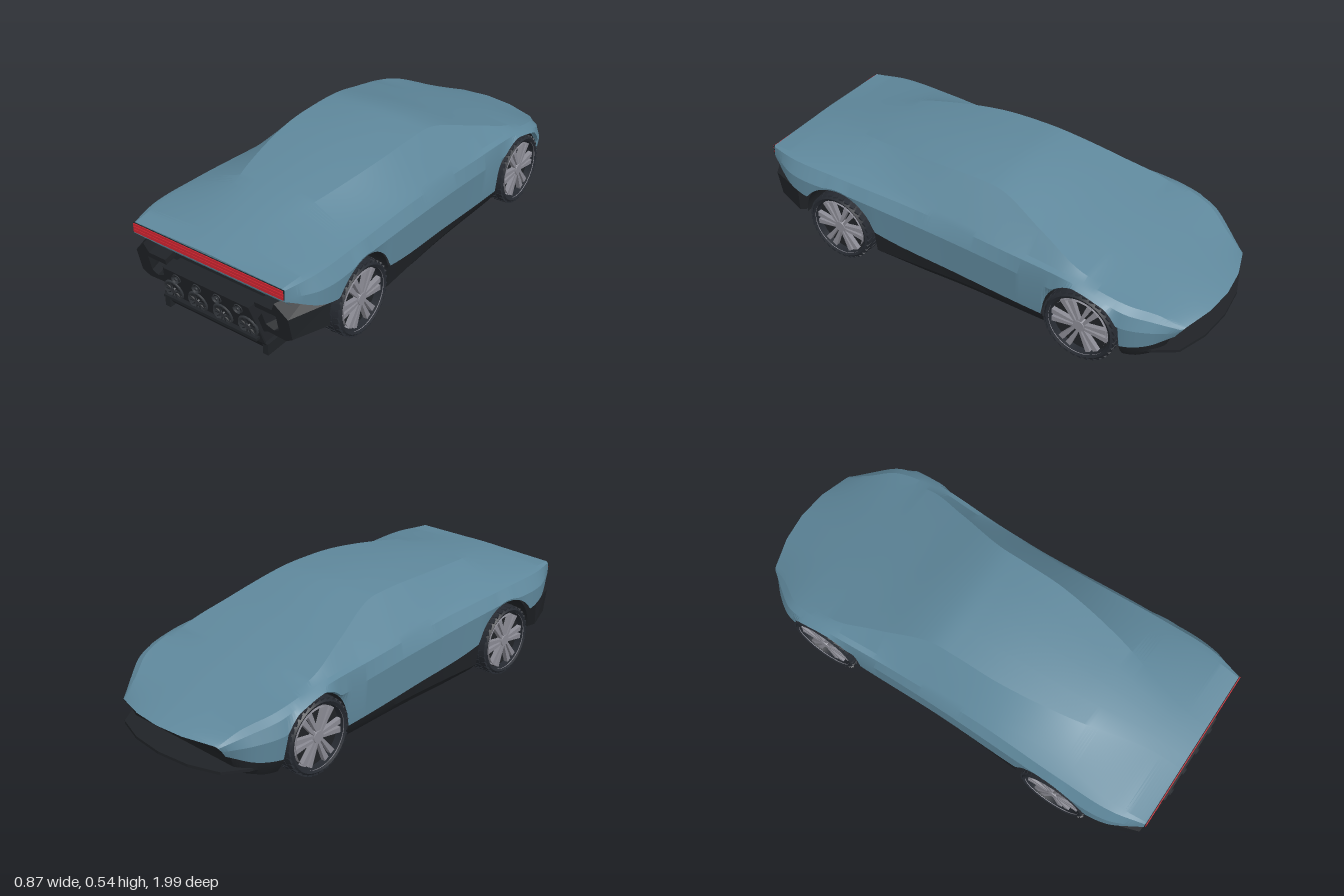
import * as THREE from 'three';
import { toCreasedNormals } from 'three/addons/utils/BufferGeometryUtils.js';

const mat = (name, color, side = THREE.FrontSide) => {
  const m = new THREE.MeshStandardMaterial({ color, side });
  m.name = name;
  return m;
};
const REAR = { z: 0.59, y: 0.157, r: 0.157, arch: 0.187 };
const FRONT = { z: -0.575, y: 0.16, r: 0.16, arch: 0.17 };

// Smooth lengthwise rail through [z, x, y] keys, listed tail to nose
const rail = (keys) => {
  const s = new THREE.CubicInterpolant(keys.map(k => -k[0]), keys.flatMap(k => [k[1], k[2]]), 2, new Float32Array(2));
  return z => [...s.evaluate(-z)];
};
const crown = rail([[0.97, 0, 0.408], [0.8, 0, 0.444], [0.5, 0, 0.503], [0.2, 0, 0.538], [0, 0, 0.545], [-0.1, 0, 0.54],
  [-0.2, 0, 0.515], [-0.4, 0, 0.44], [-0.6, 0, 0.37], [-0.8, 0, 0.297], [-1, 0, 0.222]]);
const roofEdge = rail([[0.97, 0.1, 0.406], [0.83, 0.11, 0.434], [0.5, 0.195, 0.492], [0.2, 0.24, 0.526], [0, 0.245, 0.531],
  [-0.12, 0.25, 0.522], [-0.35, 0.31, 0.444], [-0.57, 0.355, 0.364], [-0.72, 0.3, 0.318], [-0.86, 0.275, 0.268], [-1, 0.26, 0.215]]);
const belt = rail([[0.97, 0.355, 0.402], [0.83, 0.365, 0.41], [0.5, 0.335, 0.418], [0.25, 0.355, 0.408], [0, 0.37, 0.392],
  [-0.3, 0.375, 0.37], [-0.57, 0.385, 0.352], [-0.75, 0.365, 0.308], [-0.88, 0.305, 0.262], [-1, 0.27, 0.212]]);
const shoulder = rail([[0.97, 0.363, 0.396], [0.83, 0.395, 0.4], [0.6, 0.398, 0.396], [0.2, 0.386, 0.38], [-0.2, 0.392, 0.358],
  [-0.57, 0.408, 0.342], [-0.75, 0.4, 0.292], [-0.88, 0.34, 0.25], [-1, 0.275, 0.207]]);
const flank = rail([[0.97, 0.365, 0.362], [0.83, 0.424, 0.345], [0.5, 0.424, 0.342], [0, 0.411, 0.31], [-0.4, 0.415, 0.285],
  [-0.57, 0.424, 0.28], [-0.74, 0.42, 0.235], [-0.88, 0.36, 0.21], [-1, 0.28, 0.19]]);
const sill = rail([[0.97, 0.365, 0.35], [0.83, 0.424, 0.28], [0.5, 0.42, 0.235], [0.4, 0.415, 0.2], [0, 0.4, 0.15],
  [-0.4, 0.405, 0.13], [-0.74, 0.405, 0.13], [-0.88, 0.35, 0.138], [-1, 0.28, 0.165]]);

// Rounds the nose in plan and undercuts it
const nose = (x, y, z) => {
  const t = THREE.MathUtils.clamp((-z - 0.7) / 0.3, 0, 1);
  return [x, y, z + t * t * 0.06 * (x / 0.28) ** 2 + Math.max(0, 0.21 - y) * 0.6 * t ** 4];
};
const mirrored = (half, z) => [
  ...half.map(([x, y]) => nose(-x, y, z)),
  ...half.slice(0, -1).reverse().map(([x, y]) => nose(x, y, z)),
];
const archY = z => Math.max(...[REAR, FRONT].map(w => {
  const d = Math.abs(z - w.z);
  return d < w.arch ? w.y + Math.sqrt(w.arch ** 2 - d * d) : 0;
}));
const bodySection = (z) => {
  const c = crown(z), r = roofEdge(z), s = shoulder(z), f = flank(z), l = sill(z);
  l[1] = Math.min(Math.max(l[1], archY(z)), s[1] - 0.02);
  f[1] = Math.max(f[1], l[1] + 0.008);
  return mirrored([l, f, s, belt(z), r, [r[0] / 2, c[1] + (r[1] - c[1]) * 0.28], c], z);
};
const skirtSection = (z) => {
  const [x, y] = sill(z);
  const low = 0.066 + Math.max(0, -z - 0.8) * 0.16;
  return mirrored([[x, y], [x - 0.012, Math.min(0.1, y)], [Math.min(0.37, x - 0.035), low], [0, low]], z);
};

// Surface through rows of points
const grid = (rows) => {
  const n = rows[0].length, idx = [];
  for (let j = 0; j < rows.length - 1; j++) for (let i = 0; i < n - 1; i++) {
    const a = j * n + i, c = a + n;
    idx.push(a, a + 1, c, a + 1, c + 1, c);
  }
  const g = new THREE.BufferGeometry();
  g.setAttribute('position', new THREE.Float32BufferAttribute(rows.flat(2), 3));
  g.setIndex(idx);
  return toCreasedNormals(g, 0.3);
};
const loft = (section, z0, z1, n) => grid(Array.from({ length: n + 1 }, (_, i) => section(z0 + (z1 - z0) * i / n)));
const cap = (pts) => grid(pts.slice(0, (pts.length + 1) / 2).map((p, k) => [p, pts[pts.length - 1 - k]]));
const shapeOf = pts => new THREE.Shape(pts.map(p => new THREE.Vector2(...p)));
const slab = (pts, depth) => new THREE.ExtrudeGeometry(shapeOf(pts), { depth, bevelEnabled: false });

export function createModel() {
  const car = new THREE.Group();
  car.name = 'sportsCar';
  const paint = mat('bluePaint', 0x5f889c, THREE.DoubleSide);
  const dark = mat('darkTrim', 0x202327, THREE.DoubleSide);
  const rubber = mat('tyreRubber', 0x262a31);
  const alloy = mat('alloyGrey', 0x8b8b94);
  const pipe = mat('exhaustMetal', 0x33373c, THREE.DoubleSide);
  const red = mat('tailLightRed', 0xcc2430);
  const add = (parent, name, geo, m, x = 0, y = 0, z = 0) => {
    const mesh = new THREE.Mesh(geo, m);
    mesh.name = name;
    mesh.position.set(x, y, z);
    parent.add(mesh);
    return mesh;
  };
  const box = (name, m, w, h, d, x, y, z) => add(car, name, new THREE.BoxGeometry(w, h, d), m, x, y, z);

  // Painted shell with tail panel
  add(car, 'bodyShell', loft(bodySection, 0.97, -1, 170), paint);
  add(car, 'tailPanel', cap(bodySection(0.97)), paint);
  add(car, 'noseIntake', cap(bodySection(-1)), dark);
  add(car, 'lowerTailPanel', grid([[[-0.355, 0.275, 0.9], [0.355, 0.275, 0.9]], [[-0.365, 0.35, 0.968], [0.365, 0.35, 0.968]]]), paint);

  // Dark sills, floor and front splitter
  for (const [name, a, b] of [['sillSkirt', 0.405, -0.405], ['frontSkirt', -0.745, -0.98]]) {
    add(car, name, loft(skirtSection, a, b, 16), dark);
    add(car, name + 'Rear', cap(skirtSection(a)), dark);
    add(car, name + 'Front', cap(skirtSection(b)), dark);
  }
  box('floorTub', dark, 0.55, 0.18, 1.6, 0, 0.159, 0.02);
  const edge = [[0.36, -0.76], [0.34, -0.85], [0.28, -0.94], [0.15, -0.985], [0, -1]];
  const splitter = slab([...edge, ...edge.slice(0, -1).reverse().map(([x, z]) => [-x, z])], 0.012);
  add(car, 'frontSplitter', splitter.rotateX(Math.PI / 2), dark, 0, 0.112, 0);
  for (let i = -3; i <= 3; i++) box('floorRib', dark, 0.54, 0.006, 0.01, 0, 0.066, i * 0.2);
  for (const x of [-0.18, 0, 0.18]) box('floorRail', dark, 0.01, 0.006, 1.4, x, 0.066, 0);

  // Tail light bar in three strips
  box('tailLightBacking', dark, 0.728, 0.042, 0.004, 0, 0.379, 0.971);
  for (const [y, h] of [[0.366, 0.013], [0.38, 0.011], [0.393, 0.01]]) box('tailLight', red, 0.724, h, 0.007, 0, y, 0.973);

  // Rear diffuser: side profile run across the car
  const diffuser = slab([[-0.985, 0.262], [-0.955, 0.1], [-0.93, 0.058], [-0.78, 0.058], [-0.78, 0.262]], 0.5);
  const corners = diffuser.attributes.position;
  for (let i = 0; i < corners.count; i++) if (corners.getY(i) > 0.25)
    corners.setZ(i, 0.25 + (corners.getZ(i) - 0.25) * 0.82);
  diffuser.rotateY(Math.PI / 2).translate(-0.25, 0, 0);
  diffuser.computeVertexNormals();
  add(car, 'rearDiffuser', diffuser, dark);
  box('bumperBeam', dark, 0.7, 0.05, 0.14, 0, 0.268, 0.83);
  box('diffuserLip', dark, 0.46, 0.012, 0.05, 0, 0.125, 0.955);

  // Exhausts and small round lamps on the sloping rear face
  const outlet = (name, x, y, r) => {
    const g = new THREE.Group();
    g.name = name;
    g.position.set(x, y, 0.955 + (y - 0.1) * 0.185);
    g.rotation.x = 0.18;
    add(g, 'rim', new THREE.TorusGeometry(r, r * 0.14, 8, 28), pipe);
    add(g, 'bowl', new THREE.CylinderGeometry(r, r * 0.4, 0.012, 24, 1, true).rotateX(Math.PI / 2), pipe, 0, 0, 0.004);
    add(g, 'core', new THREE.CylinderGeometry(r * 0.35, r * 0.4, 0.016, 20).rotateX(Math.PI / 2), pipe);
    for (let k = 0; k < 10 && r > 0.03; k++) {
      const vane = new THREE.BoxGeometry(r * 0.62, 0.003, 0.008).translate(r * 0.65, 0, 0.003);
      add(g, 'vane', vane.rotateZ(k * Math.PI / 5), dark);
    }
    car.add(g);
  };
  for (const s of [-1, 1]) for (const k of [0, 1]) {
    outlet('exhaust', s * (0.062 + k * 0.122), 0.162, 0.042);
    outlet('rearLamp', s * (0.05 + k * 0.102), 0.234, 0.018);
  }

  for (const s of [-1, 1]) {
    // Wrap-around bumper corners, tapering with the tail
    const pts = [[0.365, 0.325], [0.427, 0.27], [0.427, 0.17], [0.39, 0.147], [0.29, 0.152], [0.25, 0.13], [0.25, 0.2],
      [0.28, 0.24], [0.29, 0.19], [0.33, 0.175], [0.36, 0.19], [0.36, 0.26], [0.25, 0.26], [0.25, 0.285], [0.345, 0.285]];
    const pod = slab(pts.map(([x, y]) => [s * x, y]), 0.165);
    const p = pod.attributes.position;
    for (let i = 0; i < p.count; i++) {
      const x = p.getX(i), back = p.getZ(i) > 0.1;
      p.setX(i, back ? x * 0.87 : x);
      p.setZ(i, p.getZ(i) + 0.8 + (back ? (p.getY(i) - 0.27) * 0.2 : 0));
    }
    pod.computeVertexNormals();
    add(car, 'bumperCorner', pod, dark);
    box('diffuserFin', dark, 0.025, 0.05, 0.16, s * 0.245, 0.072, 0.87);

    for (const w of [FRONT, REAR]) {
      // Arch liner
      const liner = new THREE.CylinderGeometry(w.arch, w.arch, 0.14, 32, 1, true, 0, Math.PI).rotateZ(Math.PI / 2);
      add(car, 'archLiner', liner, dark, s * 0.335, w.y, w.z);
      const back = new THREE.CircleGeometry(w.arch, 32, 0, Math.PI).rotateY(Math.PI / 2);
      add(car, 'archWall', back, dark, s * 0.272, w.y, w.z);
      car.add(makeWheel(w, s));
    }
  }

  // Wheel is built on a vertical axle, outer face up, then laid over
  function makeWheel(w, s) {
    const wheel = new THREE.Group();
    wheel.name = w === REAR ? 'rearWheel' : 'frontWheel';
    wheel.position.set(s * 0.362, w.y, w.z);
    wheel.rotation.z = -s * Math.PI / 2;
    const R = w.r - 0.003, rim = R * 0.83;
    const lathe = (pts, n = 48) => toCreasedNormals(new THREE.LatheGeometry(pts.map(q => new THREE.Vector2(...q)), n), 0.5);
    add(wheel, 'tyre', lathe([[rim, -0.058], [R - 0.014, -0.065], [R - 0.003, -0.055], [R, -0.03],
      [R, 0.03], [R - 0.003, 0.055], [R - 0.014, 0.065], [rim, 0.058], [rim, -0.058]]), rubber);
    for (let k = 0; k < 32; k++) for (const row of [-1.5, -0.5, 0.5, 1.5]) {
      const block = new THREE.BoxGeometry(0.008, 0.026, 0.02).rotateX(row * 0.15);
      block.translate(R - 0.001 - Math.abs(row) * 0.002, row * 0.031, 0);
      add(wheel, 'treadBlock', block.rotateY((k + row * 0.25) * Math.PI / 16), rubber);
    }
    add(wheel, 'rim', lathe([[rim * 0.9, 0.03], [rim * 0.92, 0.058], [rim + 0.001, 0.062], [rim + 0.002, 0.05]]), alloy);
    add(wheel, 'wheelDish', new THREE.CylinderGeometry(rim, rim, 0.08, 40), dark, 0, -0.012, 0);
    add(wheel, 'innerHub', new THREE.CylinderGeometry(rim * 0.6, rim * 0.6, 0.01, 32), alloy, 0, -0.055, 0);
    add(wheel, 'hub', new THREE.CylinderGeometry(0.024, 0.03, 0.025, 24), alloy, 0, 0.045, 0);
    for (let k = 0; k < 6; k++) {
      for (const side of [-1, 1]) {
        const spoke = slab([[0.015, side * 0.003], [rim * 0.93, side * 0.007], [rim * 0.93, side * 0.03], [0.022, side * 0.013]], 0.02);
        spoke.rotateX(-Math.PI / 2).rotateY(k * Math.PI / 3 + Math.PI / 6);
        add(wheel, 'spoke', spoke, alloy, 0, 0.034, 0);
      }
    }
    return wheel;
  }
  return car;
}
